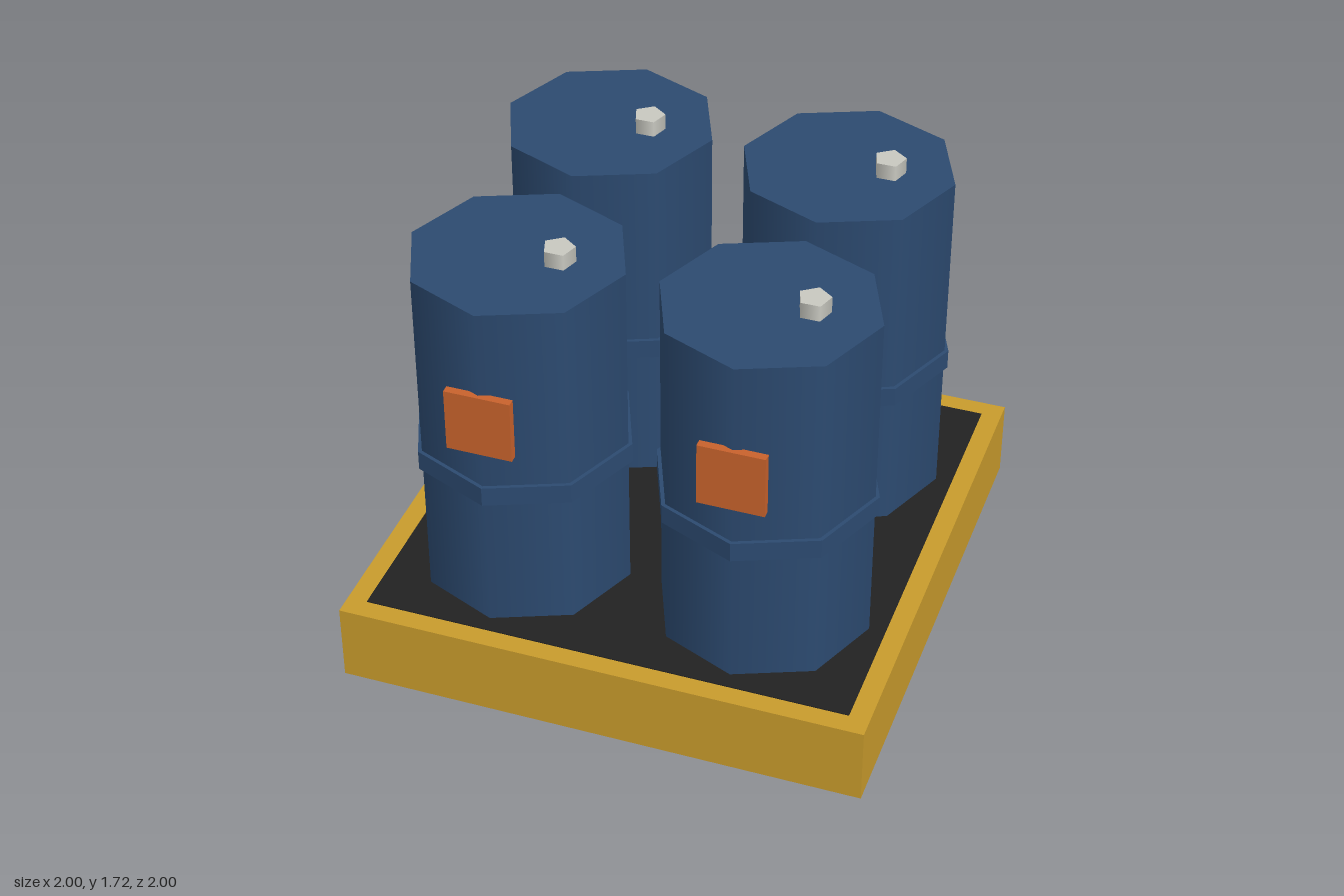
import * as THREE from 'three';

const material = (name, color, flatShading = false) => {
  const m = new THREE.MeshStandardMaterial({ color });
  m.name = name;
  m.flatShading = flatShading;
  return m;
};

export function createModel() {
  const model = new THREE.Group();
  model.name = 'drumsOnSpillPallet';

  const yellow = material('palletYellow', 0xc89b2c);
  const black = material('grateBlack', 0x222222);
  const blue = material('drumBlue', 0x2c4a70);
  const orange = material('labelOrange', 0xc8622c);
  const grey = material('capGrey', 0xc8c8c0);

  const add = (parent, name, geometry, mat, x, y, z) => {
    const mesh = new THREE.Mesh(geometry, mat);
    mesh.name = name;
    mesh.position.set(x, y, z);
    parent.add(mesh);
    return mesh;
  };

  // Containment pallet with a dark grate on top
  const baseH = 0.308;
  add(model, 'pallet', new THREE.BoxGeometry(2, baseH, 2), yellow, 0, baseH / 2, 0);
  add(model, 'grate', new THREE.BoxGeometry(1.846, 0.008, 1.846), black, 0, baseH, 0);

  // Shared drum parts: smooth body, faceted hoop, five-sided cap, label
  const bodyH = 1.354;
  const body = new THREE.CylinderGeometry(0.4, 0.4, bodyH, 8);
  const hoop = new THREE.CylinderGeometry(0.415, 0.415, 0.077, 8).toNonIndexed();
  hoop.computeVertexNormals();
  const cap = new THREE.CylinderGeometry(0.06, 0.06, 0.077, 5);
  cap.rotateY(Math.PI);
  const label = new THREE.BoxGeometry(0.246, 0.246, 0.031);

  // Four drums; only the front pair carries labels
  for (const sx of [-1, 1]) {
    for (const sz of [-1, 1]) {
      const drum = new THREE.Group();
      drum.name = `${sz > 0 ? 'front' : 'back'}${sx > 0 ? 'Left' : 'Right'}Drum`;
      drum.position.set(sx * 0.4615, baseH, sz * 0.4615);
      add(drum, 'body', body, blue, 0, bodyH / 2, 0);
      add(drum, 'hoop', hoop, blue, 0, 0.581, 0);
      add(drum, 'cap', cap, grey, 0.154, bodyH + 0.023, 0);
      if (sz > 0) add(drum, 'label', label, orange, 0, 0.895, 0.4);
      model.add(drum);
    }
  }
  return model;
}
